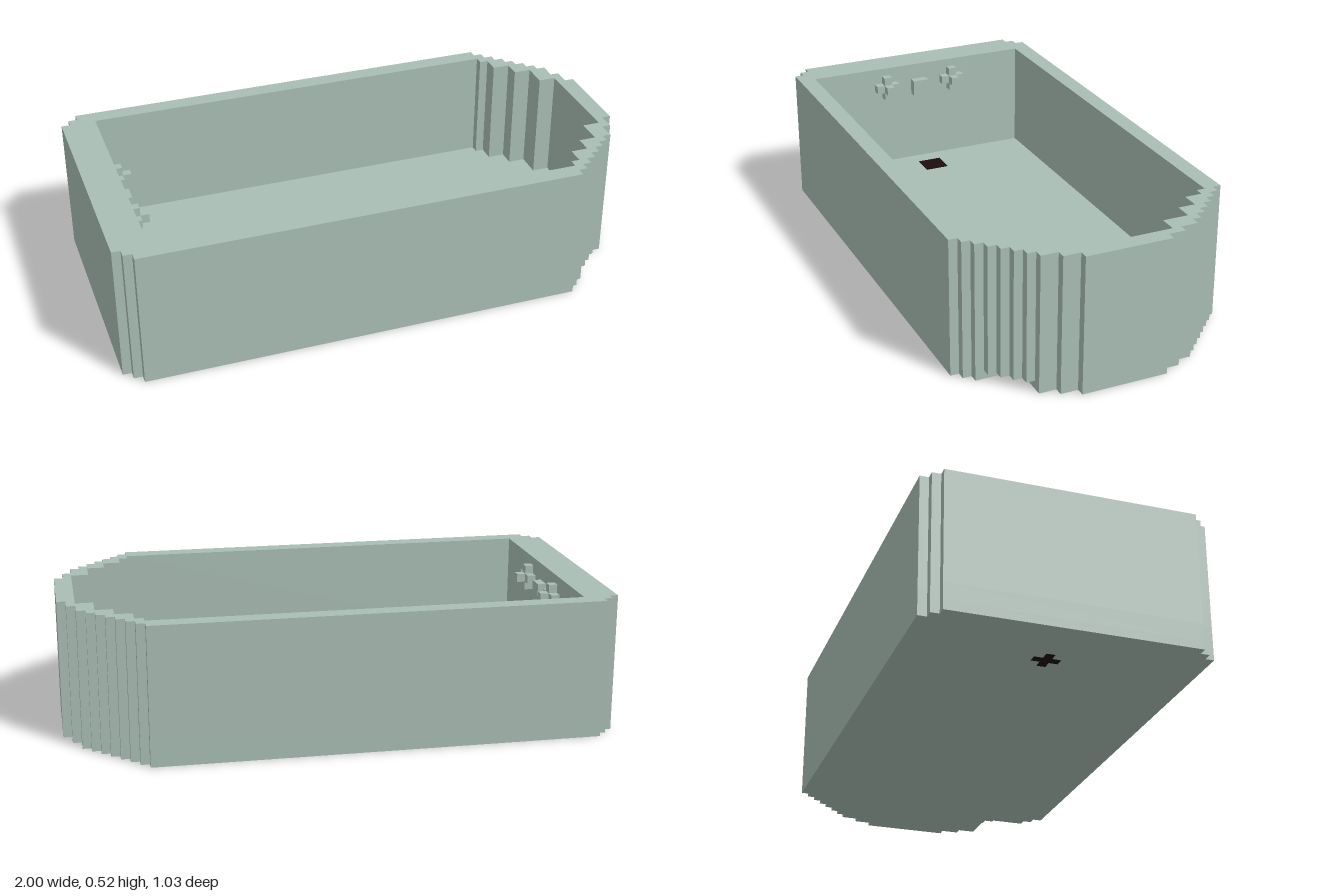
import * as THREE from 'three';

const U = 2 / 62; // one block of the grid all parts are built on

// Stepped outline in plan: each step is [x where it ends, half width]
function stairs(startX, steps, sign, z0) {
  const pts = [];
  let x = startX;
  for (const [endX, halfWidth] of steps) {
    const y = -(z0 + sign * halfWidth) * U;
    pts.push(new THREE.Vector2(x * U, y), new THREE.Vector2(endX * U, y));
    x = endX;
  }
  return pts;
}

function outline(startX, front, back = front, z0 = 0) {
  return [...stairs(startX, front, 1, z0), ...stairs(startX, back, -1, z0).reverse()];
}

// Horizontal slab between two heights, with an optional hole
function slab(name, material, points, hole, y0, y1) {
  const shape = new THREE.Shape(points);
  if (hole) shape.holes.push(new THREE.Path(hole));
  const geometry = new THREE.ExtrudeGeometry(shape, { depth: (y1 - y0) * U, bevelEnabled: false });
  geometry.rotateX(-Math.PI / 2).translate(0, y0 * U, 0);
  const mesh = new THREE.Mesh(geometry, material);
  mesh.name = name;
  return mesh;
}

// Box given by its two corners in blocks
function block(name, material, a, b) {
  const size = b.map((v, i) => (v - a[i]) * U);
  const mesh = new THREE.Mesh(new THREE.BoxGeometry(...size), material);
  mesh.position.set(...a.map((v, i) => ((v + b[i]) / 2) * U));
  mesh.name = name;
  return mesh;
}

export function createModel() {
  const group = new THREE.Group();
  group.name = 'bathtub';

  const enamel = new THREE.MeshStandardMaterial({ color: 0xa9beb4 });
  enamel.name = 'pale green enamel';
  const dark = new THREE.MeshStandardMaterial({ color: 0x1e0c0e });
  dark.name = 'dark drain';

  // Plan outlines
  const stern = [[-30, 14], [-29, 15], [22, 16]];
  const bow = [[23, 15], [24, 14], [25, 13], [26, 12], [27, 11], [28, 10], [29, 9], [30, 7], [31, 5]];
  const full = [...stern, ...bow];
  const notched = [...stern, [23, 15], [24, 14], [29, 9], [30, 7], [31, 5]];
  const outer = outline(-31, full);
  const base = outline(-31, notched, full);
  const cavity = outline(-27, [[22, 14], [23, 13], [25, 11], [27, 9], [29, 6]]);
  const drainSquare = outline(-25, [[-22, 1.5]], undefined, -0.5);
  const drainCross = outline(-25, [[-24, 0.5], [-23, 1.5], [-22, 0.5]], undefined, -0.5);

  // Tub body in three layers
  group.add(
    slab('base', enamel, base, drainCross, 0, 1),
    slab('floor', enamel, outer, drainSquare, 1, 3),
    slab('walls', enamel, outer, cavity, 3, 16),
    slab('drainOutlet', dark, drainCross, null, 0, 1),
    slab('drain', dark, drainSquare, null, 1, 3)
  );

  // Cross-shaped tap handles on the end wall
  for (const [side, z] of [['right', -4.5], ['left', 4.5]]) {
    const handle = new THREE.Group();
    handle.name = side + 'TapHandle';
    handle.add(
      block('handleBar', enamel, [-27, 13, z - 1.5], [-26, 14, z + 1.5]),
      block('handleTop', enamel, [-27, 14, z - 0.5], [-26, 15, z + 0.5]),
      block('handleBottom', enamel, [-27, 12, z - 0.5], [-26, 13, z + 0.5]),
      block('handleKnob', enamel, [-26, 13, z - 0.5], [-25, 14, z + 0.5])
    );
    group.add(handle);
  }

  // Spout between the handles
  group.add(block('spout', enamel, [-27, 12, -1], [-26, 14, 1]));

  return group;
}
